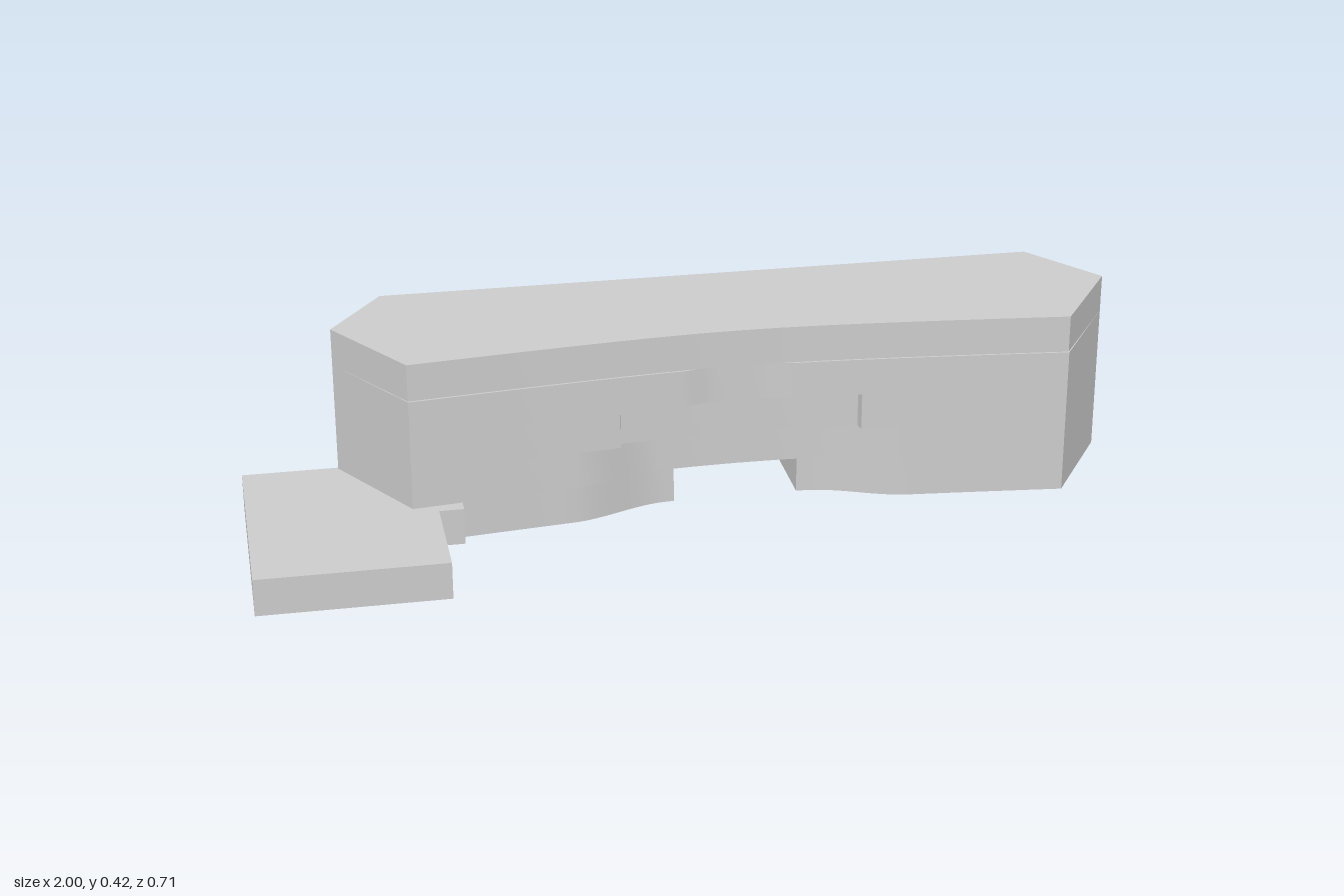
import * as THREE from 'three';
import { toCreasedNormals } from 'three/addons/utils/BufferGeometryUtils.js';

const material = new THREE.MeshStandardMaterial({ color: 0xcccccc });

// Extrudes a plan outline of [x, z] points upwards from y0 to y1
function slab(name, points, y0, y1) {
  const shape = new THREE.Shape(points.map(([x, z]) => new THREE.Vector2(x, -z)));
  const geometry = new THREE.ExtrudeGeometry(shape, { depth: y1 - y0, bevelEnabled: false });
  geometry.rotateX(-Math.PI / 2).translate(0, y0, 0);
  const mesh = new THREE.Mesh(toCreasedNormals(geometry, 0.45), material);
  mesh.name = name;
  return mesh;
}

// Gently bowed front facade line
const frontLine = (x) => -0.02 + Math.hypot(0.035, 0.119 * (x - 0.1));

// Recess profile: full depth between from and to, easing in over the ramp
function recess(x, { from, to, ramp, depth }) {
  const s = THREE.MathUtils.smoothstep;
  return depth * s(x, from, from + ramp) * (1 - s(x, to - ramp, to));
}

// Sample positions along a facade, denser where a recess begins and ends
function samples(x0, x1, r) {
  const xs = [x0, x1];
  for (let i = 1; i < 16; i++) xs.push(x0 + ((x1 - x0) * i) / 16);
  for (let i = 0; i <= 6; i++) xs.push(r.from + (r.ramp * i) / 6, r.to - (r.ramp * i) / 6);
  return xs.filter((x) => x >= x0 && x <= x1).sort((a, b) => a - b)
    .filter((x, i, all) => i === 0 || x - all[i - 1] > 1e-5);
}

// Plan of a storey, optionally cut off at x = a on the left or x = b on the right
function storeyPlan(front, back, a = -Infinity, b = Infinity, inset = 0) {
  const f = samples(Math.max(a, -0.64), Math.min(b, 0.845), front)
    .map((x) => [x, frontLine(x) - recess(x, front) + 0.004 - inset]);
  const r = samples(Math.max(a, -0.66), Math.min(b, 0.87), back)
    .map((x) => [x, -0.355 + recess(x, back) + inset]);
  const plan = [...f];
  if (b === Infinity) plan.push([0.998, -0.157]);
  plan.push(...r.reverse());
  if (a === -Infinity) plan.push([-0.785, -0.165]);
  return plan;
}

export function createModel() {
  const model = new THREE.Group();
  model.name = 'building';
  const h = 0.0845;

  // Ground storey: two wings either side of the passage
  const gFront = { from: -0.28, to: 0.49, ramp: 0.22, depth: 0.05 };
  const gBack = { from: -0.26, to: 0.42, ramp: 0.16, depth: 0.045 };
  model.add(slab('rightWing', storeyPlan(gFront, gBack, -Infinity, -0.04), 0, h));
  model.add(slab('leftWing', storeyPlan(gFront, gBack, 0.245), 0, h));

  // Upper storeys: the central recess shrinks towards the roof
  const storeys = [
    ['secondStorey', { from: -0.26, to: 0.47, ramp: 0.18, depth: 0.042 },
      { from: -0.22, to: 0.4, ramp: 0.15, depth: 0.035 }],
    ['thirdStorey', { from: -0.17, to: 0.38, ramp: 0.004, depth: 0.022 },
      { from: -0.08, to: 0.31, ramp: 0.004, depth: 0.035 }],
    ['fourthStorey', { from: -0.03, to: 0.23, ramp: 0.08, depth: 0.012 },
      { from: -0.2, to: 0.35, ramp: 0.2, depth: 0.022 }],
    ['topStorey', { from: 0, to: 0.2, ramp: 0.05, depth: 0 },
      { from: -0.28, to: 0.38, ramp: 0.1, depth: 0 }, 0.005],
  ];
  storeys.forEach(([name, front, back, inset], i) => {
    model.add(slab(name, storeyPlan(front, back, undefined, undefined, inset), h * (i + 1), h * (i + 2)));
  });

  // Low annex at the right end, fitted against the main block
  model.add(slab('annex', [
    [-1, 0.355], [-0.585, 0.355], [-0.585, 0.1], [-0.53, 0.1],
    [-0.53, 0.066], [-0.64, 0.079], [-0.785, -0.165], [-0.785, -0.17], [-1, -0.17],
  ], 0, h));

  return model;
}
